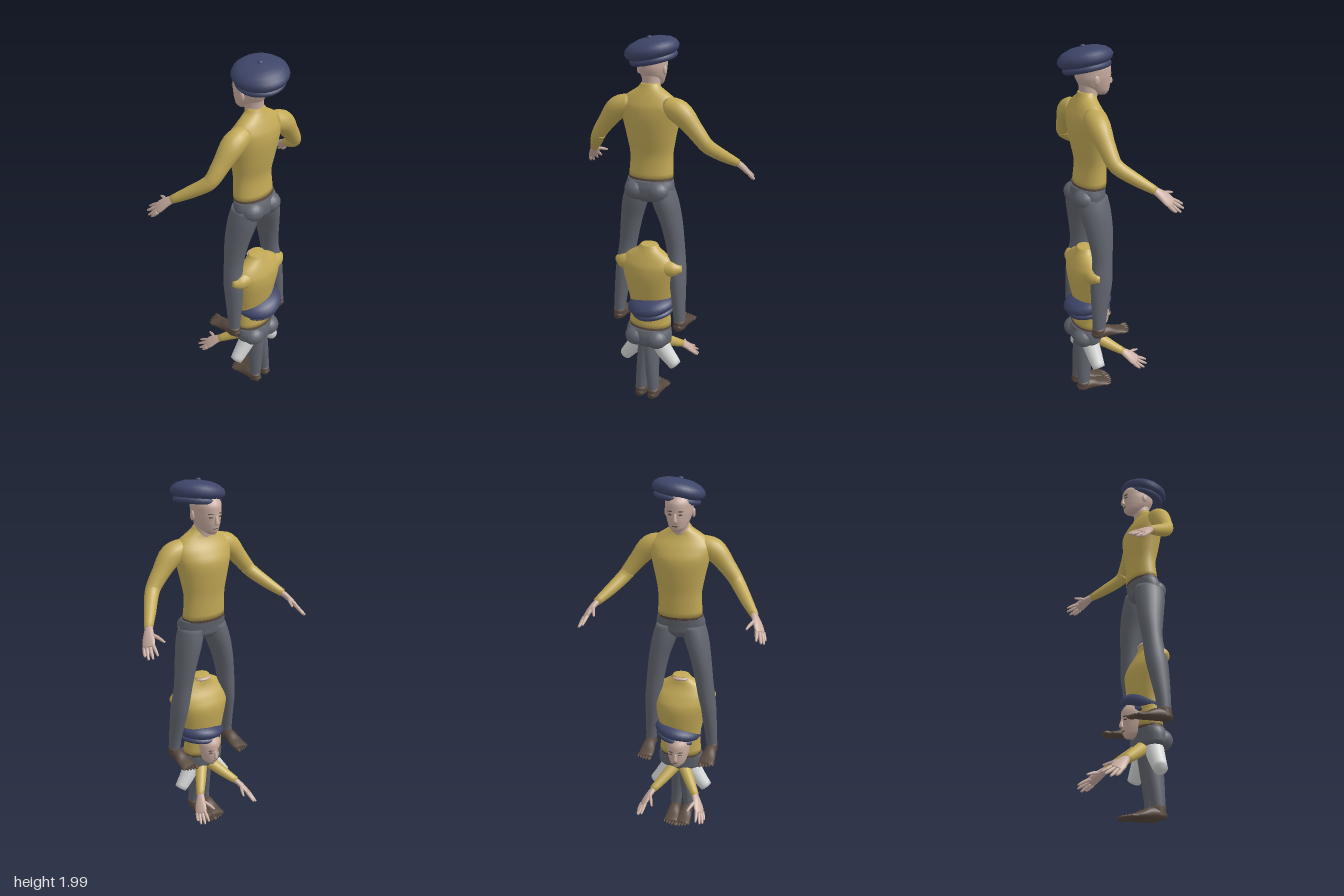
import * as THREE from 'three';

const mat = (name, color) => {
  const m = new THREE.MeshStandardMaterial({ color });
  m.name = name;
  return m;
};

export function createModel() {
  const yellow = mat('yellow shirt', 0xc2a956);
  const grey = mat('grey trousers', 0x60646d);
  const skin = mat('skin', 0xc8aca0);
  const brown = mat('dark brown', 0x57483e);
  const blue = mat('navy cap', 0x3e4568);
  const white = mat('white stump', 0xd6d8d8);

  const add = (parent, name, geo, material) => {
    const m = new THREE.Mesh(geo, material);
    m.name = name;
    parent.add(m);
    return m;
  };
  const group = (parent, name, x = 0, y = 0, z = 0) => {
    const g = new THREE.Group();
    g.name = name;
    g.position.set(x, y, z);
    parent.add(g);
    return g;
  };

  // Smooth skin through sections [x, y, z, radiusU, radiusV].
  // Without ref the rings lie level; with ref they follow the path.
  function loft(sections, ref = null, sides = 20, steps = 4) {
    const centre = new THREE.CatmullRomCurve3(sections.map(s => new THREE.Vector3(s[0], s[1], s[2])));
    const radius = new THREE.CatmullRomCurve3(sections.map(s => new THREE.Vector3(s[3], s[4] ?? s[3], 0)));
    const rows = (sections.length - 1) * steps;
    const pos = [], index = [];
    const ring = (t, k) => {
      const c = centre.getPoint(t), r = radius.getPoint(t);
      const T = ref ? centre.getTangent(t) : new THREE.Vector3(0, 1, 0);
      const U = ref ? T.clone().cross(ref).normalize() : new THREE.Vector3(1, 0, 0);
      const V = U.clone().cross(T);
      for (let i = 0; i < sides; i++) {
        const a = i / sides * Math.PI * 2;
        const p = c.clone()
          .addScaledVector(U, Math.cos(a) * Math.max(r.x, 0) * k)
          .addScaledVector(V, Math.sin(a) * Math.max(r.y, 0) * k);
        pos.push(p.x, p.y, p.z);
      }
    };
    ring(0, 0.001);
    for (let j = 0; j <= rows; j++) ring(j / rows, 1);
    ring(1, 0.001);
    for (let j = 0; j < rows + 2; j++) for (let i = 0; i < sides; i++) {
      const a = j * sides + i, b = j * sides + (i + 1) % sides;
      index.push(a, a + sides, b, b, a + sides, b + sides);
    }
    const g = new THREE.BufferGeometry();
    g.setAttribute('position', new THREE.Float32BufferAttribute(pos, 3));
    g.setIndex(index);
    g.computeVertexNormals();
    return g;
  }
  const ball = (x, y, z, rx, ry, rz) =>
    new THREE.SphereGeometry(1, 18, 12).scale(rx, ry, rz).translate(x, y, z);
  const Y = new THREE.Vector3(0, 1, 0), Z = new THREE.Vector3(0, 0, 1);
  const palmNormal = new THREE.Vector3(0.7, 0.7, -0.17).normalize();

  // Builds a part on the left, then mirrored on the right
  function pair(parent, name, build) {
    for (const s of [1, -1]) {
      const g = group(parent, (s > 0 ? 'left ' : 'right ') + name);
      g.scale.x = s;
      build(g);
    }
  }

  // Head with face, neck and flat cap
  function head(parent, dy) {
    const h = group(parent, 'head', 0, dy, 0);
    add(h, 'skull', loft([[0, 1.745, -0.012, 0.018, 0.022], [0, 1.765, 0.006, 0.042, 0.052],
      [0, 1.8, 0.027, 0.058, 0.08], [0, 1.84, 0.037, 0.068, 0.092],
      [0, 1.88, 0.039, 0.07, 0.093], [0, 1.92, 0.045, 0.055, 0.075]]), skin);
    add(h, 'neck', loft([[0, 1.71, 0.075, 0.055, 0.05], [0, 1.76, 0.062, 0.046, 0.046],
      [0, 1.83, 0.06, 0.046, 0.055]]), skin);
    add(h, 'nose', loft([[0, 1.796, -0.053, 0.012, 0.012], [0, 1.805, -0.057, 0.011, 0.012],
      [0, 1.84, -0.05, 0.006, 0.008]]), skin);
    add(h, 'mouth', ball(0, 1.777, -0.047, 0.018, 0.003, 0.005), brown);
    pair(h, 'face side', g => {
      add(g, 'ear', ball(0.07, 1.83, 0.05, 0.009, 0.024, 0.015), skin);
      const eye = add(g, 'eye', ball(0, 0, 0, 0.011, 0.004, 0.004), brown);
      eye.position.set(0.026, 1.834, -0.047);
      eye.rotation.y = -0.4;
      const brow = add(g, 'eyebrow', ball(0, 0, 0, 0.015, 0.003, 0.004), brown);
      brow.position.set(0.027, 1.85, -0.049);
      brow.rotation.y = -0.4;
    });
    const cap = group(h, 'cap', 0.015, 1.93, 0.085);
    cap.rotation.set(0.13, 0, 0.17);
    const crown = [[0, -0.03], [0.11, -0.03], [0.128, -0.018], [0.136, 0], [0.128, 0.02],
      [0.105, 0.038], [0.065, 0.052], [0, 0.058]].map(p => new THREE.Vector2(...p));
    add(cap, 'cap crown', new THREE.LatheGeometry(crown, 32), blue);
    const band = [[0, -0.038], [0.09, -0.056], [0.112, -0.054], [0.12, -0.044], [0.118, -0.032],
      [0.1, -0.02]].map(p => new THREE.Vector2(...p));
    add(cap, 'cap band', new THREE.LatheGeometry(band, 32), blue);
    add(cap, 'cap button', ball(0, 0.058, 0, 0.013, 0.008, 0.013), blue);
  }

  // Shirt, waist and seat
  function body(parent, dy, dz) {
    const b = group(parent, 'body', 0, dy, dz);
    add(b, 'shirt', loft([[0, 1.295, 0.062, 0.12, 0.079], [0, 1.4, 0.055, 0.115, 0.075],
      [0, 1.5, 0.058, 0.13, 0.09], [0, 1.6, 0.063, 0.152, 0.1], [0, 1.66, 0.075, 0.16, 0.085],
      [0, 1.71, 0.08, 0.122, 0.06], [0, 1.75, 0.075, 0.06, 0.046], [0, 1.77, 0.072, 0.045, 0.04]], null, 32), yellow);
    add(b, 'waistband', loft([[0, 1.282, 0.066, 0.122, 0.081], [0, 1.3, 0.063, 0.1205, 0.0795]], null, 32), brown);
    add(b, 'seat', loft([[0, 1.175, 0.078, 0.07, 0.055], [0, 1.21, 0.078, 0.13, 0.083],
      [0, 1.25, 0.076, 0.132, 0.085], [0, 1.288, 0.067, 0.123, 0.081]], null, 32), grey);
    pair(b, 'buttock', g => add(g, 'buttock', ball(0.06, 1.232, 0.112, 0.064, 0.056, 0.063), grey));
    return b;
  }

  // Forearm and spread hand
  function forearm(g) {
    add(g, 'forearm', loft([[0.285, 1.5, 0.075, 0.037], [0.305, 1.475, 0.06, 0.036],
      [0.36, 1.418, -0.015, 0.03], [0.41, 1.372, -0.085, 0.021]], Z), yellow);
    add(g, 'palm', loft([[0.405, 1.376, -0.08, 0.019, 0.016], [0.425, 1.352, -0.11, 0.028, 0.015],
      [0.442, 1.325, -0.138, 0.035, 0.013], [0.452, 1.308, -0.155, 0.031, 0.01]], palmNormal), skin);
    const fingers = [
      ['thumb', [0.418, 1.358, -0.122], [0.4, 1.347, -0.16], [0.387, 1.335, -0.194]],
      ['index finger', [0.433, 1.326, -0.158], [0.438, 1.306, -0.195], [0.441, 1.29, -0.221]],
      ['middle finger', [0.446, 1.315, -0.156], [0.456, 1.292, -0.19], [0.463, 1.277, -0.214]],
      ['ring finger', [0.457, 1.305, -0.147], [0.468, 1.282, -0.172], [0.475, 1.266, -0.192]],
      ['little finger', [0.464, 1.302, -0.133], [0.473, 1.284, -0.15], [0.479, 1.272, -0.164]]];
    for (const [name, a, b, c] of fingers)
      add(g, name, loft([[...a, 0.0095], [...b, 0.0085], [...c, 0.005]], palmNormal, 10), skin);
  }

  // Leg sections from ankle to hip; the foot sits under the ankle
  const legSections = [[0.18, 0.49, 0.095, 0.03, 0.034], [0.176, 0.56, 0.092, 0.033, 0.039],
    [0.165, 0.68, 0.08, 0.04, 0.052], [0.155, 0.78, 0.068, 0.046, 0.06],
    [0.14, 0.9, 0.055, 0.048, 0.055], [0.115, 1.05, 0.058, 0.056, 0.072],
    [0.085, 1.17, 0.07, 0.066, 0.084], [0.07, 1.24, 0.076, 0.06, 0.08]];
  function foot(g) {
    add(g, 'ankle', loft([[0.18, 0.47, 0.095, 0.033, 0.037], [0.18, 0.518, 0.095, 0.032, 0.036]]), brown);
    add(g, 'foot', loft([[0.18, 0.474, 0.132, 0.018, 0.016], [0.18, 0.481, 0.105, 0.032, 0.03],
      [0.179, 0.483, 0.055, 0.034, 0.032], [0.177, 0.471, 0, 0.041, 0.02],
      [0.177, 0.464, -0.045, 0.041, 0.013], [0.175, 0.462, -0.06, 0.034, 0.01]], Y), brown);
    for (let i = 0; i < 5; i++) {
      const r = i ? 0.0075 : 0.011, x = 0.146 + i * 0.0165 + (i ? 0.002 : 0);
      add(g, 'toe', ball(x, 0.462, -0.07 + i * i * 0.0015, r, r, 0.024), brown);
    }
  }

  const model = new THREE.Group();
  model.name = 'stacked figures';

  // Upper figure, standing
  const upper = group(model, 'upper figure');
  head(upper, 0);
  body(upper, 0, 0);
  pair(upper, 'arm', g => {
    add(g, 'upper arm', loft([[0.09, 1.665, 0.088, 0.05], [0.165, 1.64, 0.092, 0.058],
      [0.235, 1.565, 0.085, 0.045], [0.29, 1.495, 0.073, 0.037], [0.305, 1.475, 0.06, 0.034]], Z), yellow);
    forearm(g);
  });
  pair(upper, 'leg', g => {
    add(g, 'trouser leg', loft(legSections), grey);
    foot(g);
  });

  // Lower figure, with its parts displaced
  const lower = group(model, 'lower figure');
  head(lower, -1.345);
  const torso = body(lower, -0.84, 0.018);
  add(torso, 'neck stump', ball(0, 1.755, 0.05, 0.045, 0.013, 0.03), skin);
  pair(torso, 'shoulder stump', g => add(g, 'shoulder stump',
    loft([[0.09, 1.655, 0.085, 0.055], [0.15, 1.655, 0.085, 0.042], [0.19, 1.66, 0.08, 0.016]], Z), yellow));
  pair(lower, 'detached forearm', g => forearm(group(g, 'forearm and hand', -0.285, -1.11, 0)));
  pair(lower, 'thigh stump', g => add(g, 'thigh stump',
    loft([[0.055, 0.36, 0.095, 0.05], [0.1, 0.29, 0.088, 0.044], [0.153, 0.222, 0.082, 0.035]], Z), white));
  pair(lower, 'lower leg', g => {
    const shin = group(g, 'shin and foot', -0.142, -0.449, 0.03);
    add(shin, 'trouser shin', loft(legSections.slice(0, 5)), grey);
    foot(shin);
  });
  return model;
}
